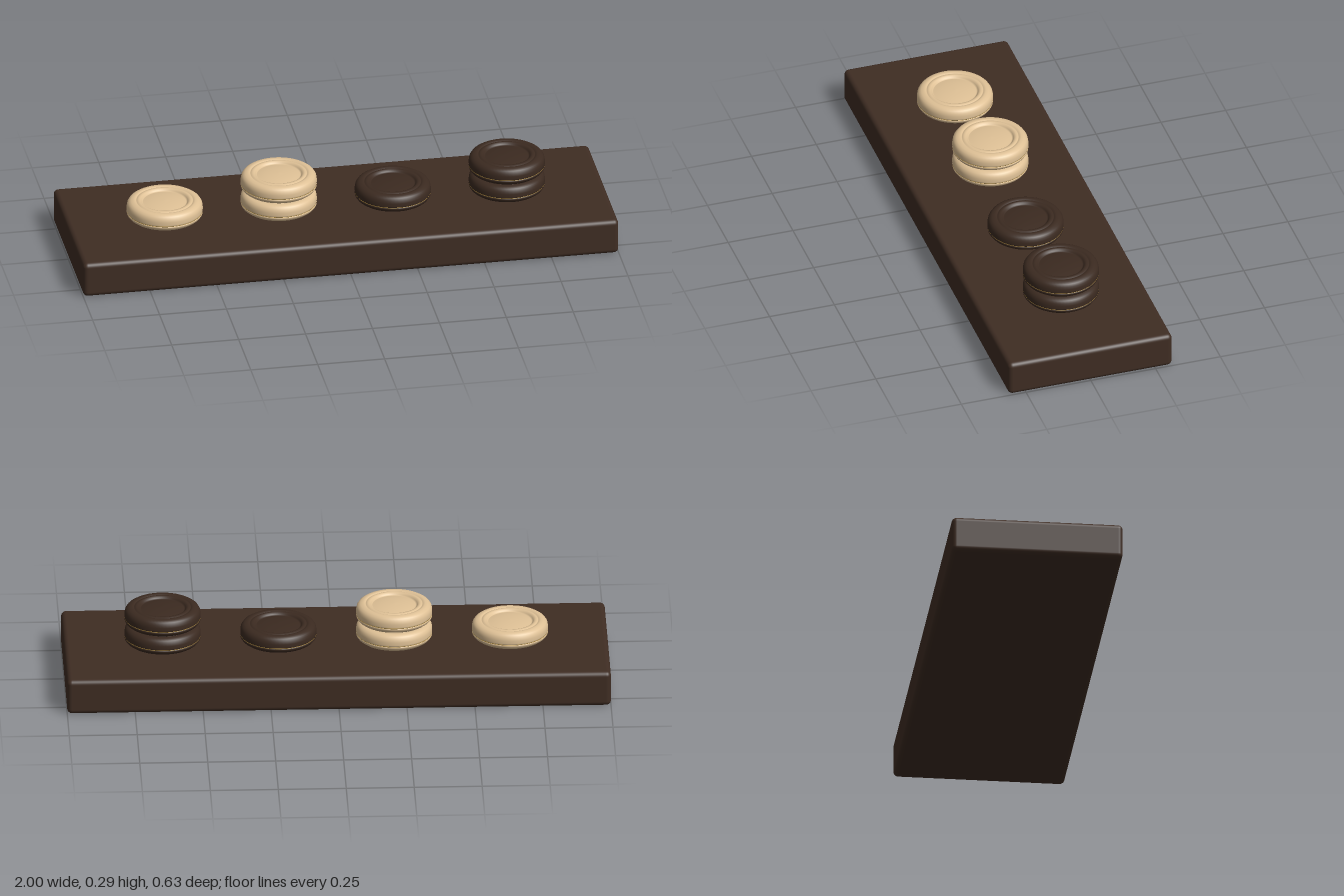
import * as THREE from 'three';
import { RoundedBoxGeometry } from 'three/addons/geometries/RoundedBoxGeometry.js';

const material = (name, color) => {
  const m = new THREE.MeshStandardMaterial({ color });
  m.name = name;
  return m;
};

export function createModel() {
  const model = new THREE.Group();
  model.name = 'checkersDisplay';

  const boardWood = material('dark walnut', 0x3f2d23);
  const darkWood = material('dark piece wood', 0x3b2a20);
  const lightWood = material('light piece wood', 0xdfc196);
  const gold = material('gold', 0xb08c3e);

  // Plank with softly rounded edges
  const board = new THREE.Mesh(new RoundedBoxGeometry(2, 0.135, 0.632, 4, 0.018), boardWood);
  board.name = 'board';
  board.position.y = 0.0675;
  model.add(board);

  // Piece profile: foot, rounded side with a seam, rim, groove and low dome
  const profile = [
    [0, 0], [0.106, 0], [0.1075, 0.001], [0.1075, 0.0055], [0.1085, 0.006], [0.118, 0.006],
    [0.127, 0.0085], [0.135, 0.0145], [0.1395, 0.021], [0.14, 0.025], [0.1395, 0.0275],
    [0.1375, 0.0285], [0.1375, 0.0295], [0.1395, 0.0305], [0.14, 0.034], [0.14, 0.046],
    [0.138, 0.0565], [0.1325, 0.065], [0.124, 0.0705], [0.114, 0.072], [0.108, 0.0715],
    [0.1055, 0.069], [0.103, 0.069], [0.1005, 0.0715], [0.095, 0.072], [0.089, 0.071],
    [0.085, 0.066], [0.082, 0.063], [0.079, 0.063], [0.07, 0.0648], [0.05, 0.0675],
    [0.025, 0.0692], [0, 0.0698],
  ].map(([r, y]) => new THREE.Vector2(r, y));
  const pieceGeometry = new THREE.LatheGeometry(profile, 64);
  const ringGeometry = new THREE.TorusGeometry(0.1383, 0.0013, 6, 64).rotateX(Math.PI / 2);

  function addPiece(name, x, y, wood) {
    const piece = new THREE.Group();
    piece.name = name;
    const body = new THREE.Mesh(pieceGeometry, wood);
    body.name = 'pieceBody';
    const ring = new THREE.Mesh(ringGeometry, gold);
    ring.name = 'seamRing';
    ring.position.y = 0.029;
    piece.add(body, ring);
    piece.position.set(x, y, 0);
    model.add(piece);
  }

  // Each colour shows a single piece and a stacked pair
  const baseY = 0.142, step = 0.0735;
  [
    ['lightPiece', -0.64, 1, lightWood],
    ['lightStack', -0.214, 2, lightWood],
    ['darkPiece', 0.212, 1, darkWood],
    ['darkStack', 0.638, 2, darkWood],
  ].forEach(([name, x, count, wood]) => {
    for (let i = 0; i < count; i++) addPiece(`${name}${i + 1}`, x, baseY + i * step, wood);
  });

  return model;
}
